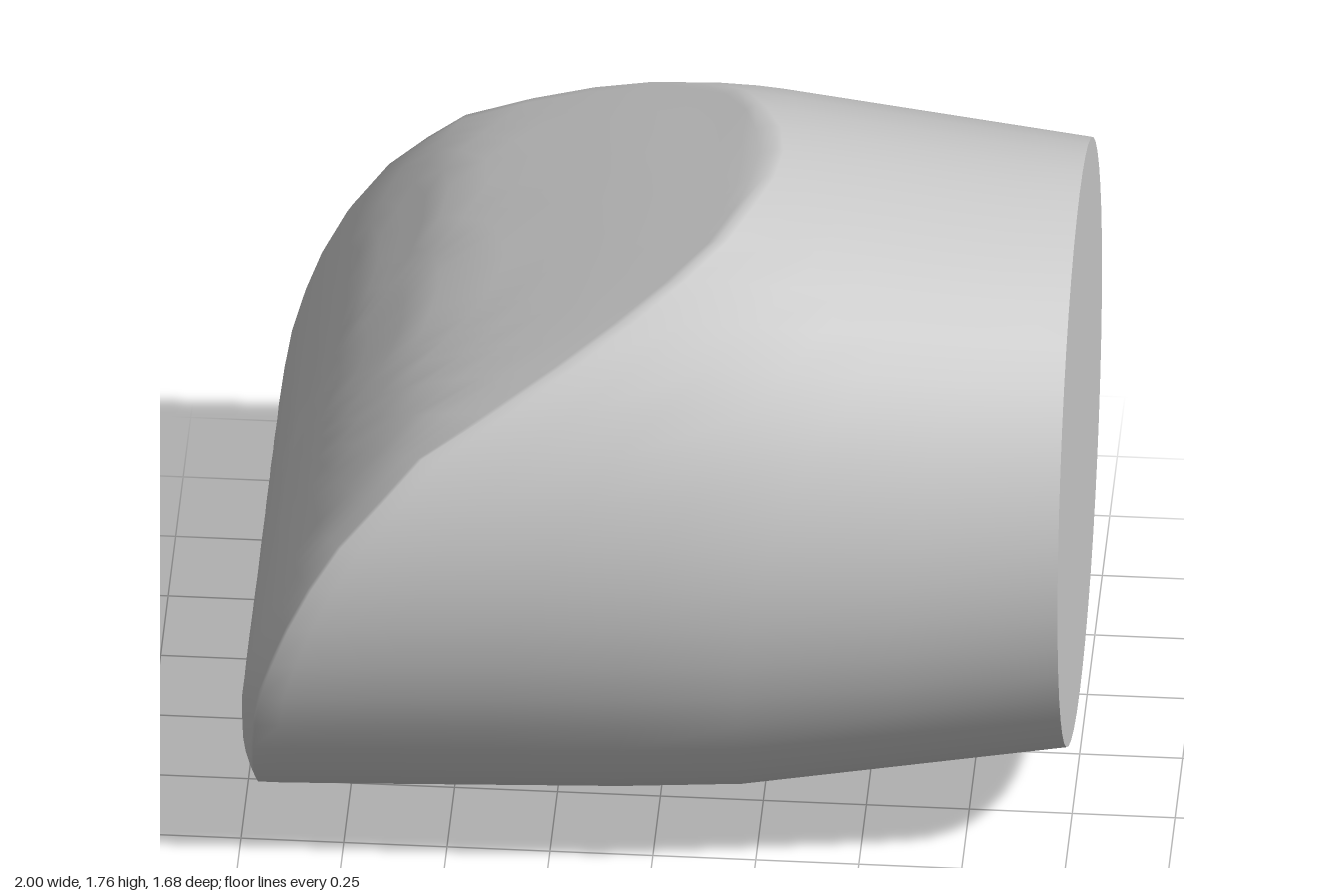
import * as THREE from 'three';

const SEGMENTS = 48;

// Linear interpolation through rows of [key, value, value...]
function sample(rows, key) {
  if (key <= rows[0][0]) return rows[0].slice(1);
  for (let i = 1; i < rows.length; i++) {
    const a = rows[i - 1], b = rows[i];
    if (key <= b[0]) {
      const t = (key - a[0]) / (b[0] - a[0]);
      return a.slice(1).map((v, k) => THREE.MathUtils.lerp(v, b[k + 1], t));
    }
  }
  return rows[rows.length - 1].slice(1);
}

// Barrel sections: x, centre height, half height, half width
const sections = [
  [-0.88, 0.86, 0.86, 0.838],
  [0.15, 0.903, 0.866, 0.832],
  [1, 0.925, 0.74, 0.74],
];

// Rim of the slanted face: y, x
const rim = [
  [0, -0.88], [0.03, -0.945], [0.12, -0.957], [0.3, -0.96], [0.5, -0.95], [0.65, -0.93], [0.82, -0.88],
  [0.97, -0.81], [1.1, -0.73], [1.31, -0.54], [1.54, -0.15], [1.735, 0.2], [1.77, 0.3],
];

function barrelPoint(x, angle) {
  const [c, h, w] = sample(sections, x);
  return new THREE.Vector3(x, c + h * Math.cos(angle), w * Math.sin(angle));
}

// Where the barrel line at this angle meets the slanted face
function rimPoint(angle) {
  let p = barrelPoint(-0.5, angle);
  for (let i = 0; i < 25; i++) p = barrelPoint(sample(rim, p.y)[0], angle);
  return p;
}

// Point on the slanted face, s = 0 at its middle and 1 on the rim, softly crowned
function facePoint(edge, s) {
  const y = THREE.MathUtils.lerp(0.87, edge.y, s);
  const t = Math.max(0, (s - 0.82) / 0.18);
  const crown = 0.04 * THREE.MathUtils.clamp((1.75 - y) / 0.8, 0, 1) * (1 - t * t);
  return new THREE.Vector3(sample(rim, y)[0] - crown, y, edge.z * s);
}

function shellGeometry() {
  const faceSteps = [0, 0.1, 0.2, 0.3, 0.4, 0.5, 0.6, 0.7, 0.78, 0.84, 0.89, 0.93, 0.965, 0.985];
  const bodySteps = [0, 0.03, 0.15, 0.3, 0.45, 0.6, 0.8, 1];
  const rows = faceSteps.length + bodySteps.length;
  const positions = [], index = [];
  const edges = Array.from({ length: SEGMENTS }, (_, j) => rimPoint((j / SEGMENTS) * Math.PI * 2));

  for (const s of faceSteps) {
    for (const e of edges) positions.push(...facePoint(e, s).toArray());
  }
  for (const t of bodySteps) {
    edges.forEach((e, j) => {
      const x = THREE.MathUtils.lerp(e.x, 1, t);
      positions.push(...barrelPoint(x, (j / SEGMENTS) * Math.PI * 2).toArray());
    });
  }
  for (let i = 0; i < rows - 1; i++) {
    for (let j = 0; j < SEGMENTS; j++) {
      const k = (j + 1) % SEGMENTS;
      const a = i * SEGMENTS + j, b = i * SEGMENTS + k;
      const c = a + SEGMENTS, d = b + SEGMENTS;
      if (i > 0) index.push(a, b, c);
      index.push(b, d, c);
    }
  }
  const geometry = new THREE.BufferGeometry();
  geometry.setAttribute('position', new THREE.Float32BufferAttribute(positions, 3));
  geometry.setIndex(index);
  geometry.computeVertexNormals();
  // The middle of the face is a single point, so give it one normal
  for (let j = 0; j < SEGMENTS; j++) geometry.attributes.normal.setXYZ(j, -0.87, 0.5, 0);
  return geometry;
}

export function createModel() {
  const group = new THREE.Group();
  group.name = 'slantedBarrel';
  const material = new THREE.MeshStandardMaterial({ color: 0xcccccc });

  // Tapered barrel with its curved slanted face
  const shell = new THREE.Mesh(shellGeometry(), material);
  shell.name = 'barrelShell';
  group.add(shell);

  // Flat round end
  const end = new THREE.Mesh(new THREE.CircleGeometry(0.74, SEGMENTS), material);
  end.name = 'flatEnd';
  end.rotation.set(0, Math.PI / 2, 0);
  end.position.set(1, 0.925, 0);
  group.add(end);

  return group;
}
